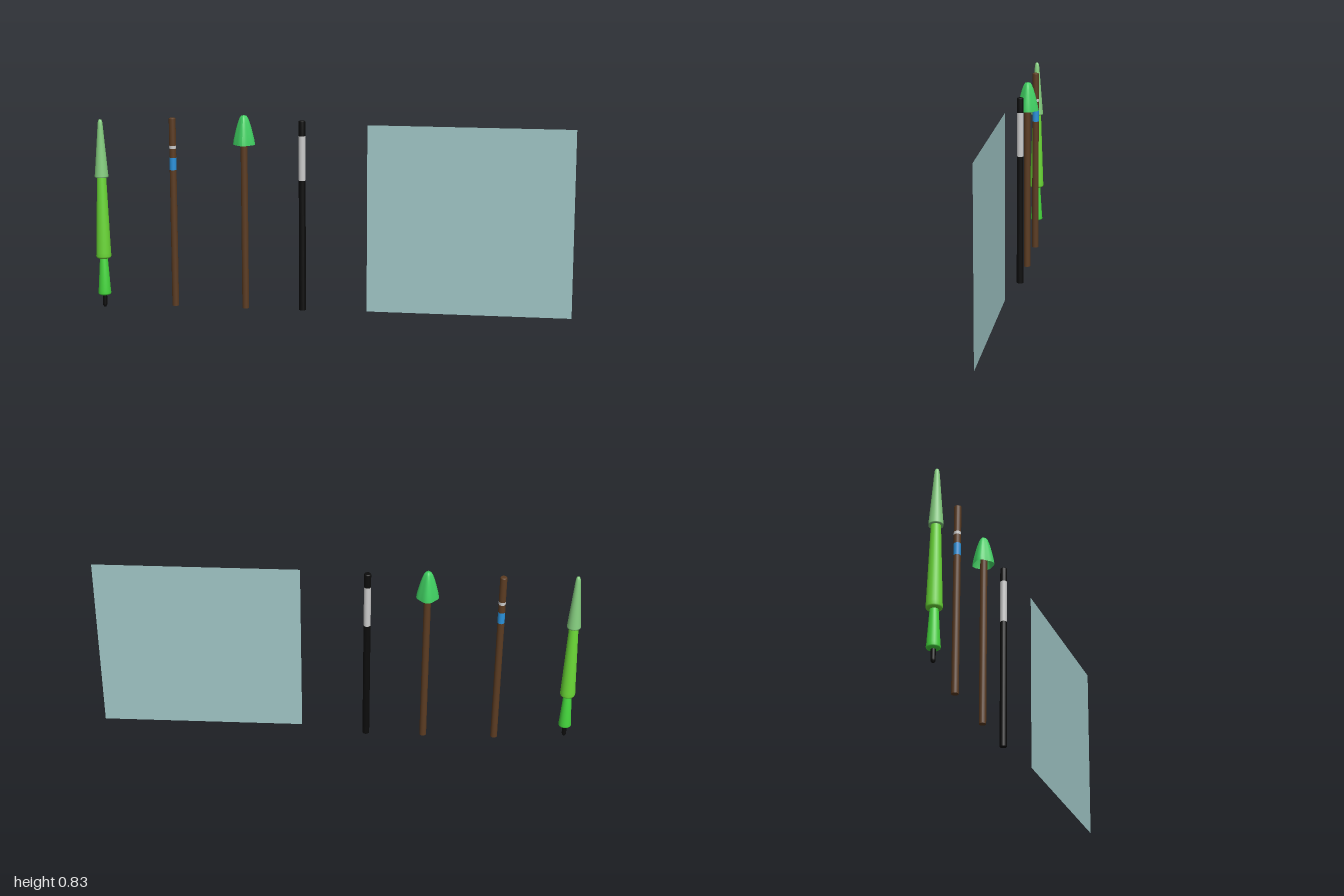
import * as THREE from 'three';

const mat = (color, side = THREE.FrontSide) =>
  new THREE.MeshStandardMaterial({ color, side });
const WOOD = mat(0x5c3c22), BLACK = mat(0x0c0c0c), WHITE = mat(0xcccccc), BLUE = mat(0x2a92dc);
const POLE_R = 0.0145, POLE_Z = -0.0095;

function add(parent, name, geometry, material, x = 0, y = 0, z = 0) {
  const mesh = new THREE.Mesh(geometry, material);
  mesh.name = name;
  mesh.position.set(x, y, z);
  parent.add(mesh);
  return mesh;
}

function lathe(points, segments = 24) {
  return new THREE.LatheGeometry(points.map(([r, y]) => new THREE.Vector2(r, y)), segments);
}

// Pole stacked from coloured sections: [name, bottom, top, material]
function pole(name, x, sections) {
  const g = new THREE.Group();
  g.name = name;
  g.position.set(x, 0, POLE_Z);
  sections.forEach(([part, y0, y1, m], i) => {
    if (i === sections.length - 1) {
      // slightly rounded tip
      const b = 0.004;
      add(g, part, lathe([[0, y0], [POLE_R, y0], [POLE_R, y0], [POLE_R, y1 - b],
        [POLE_R - b * 0.4, y1 - b * 0.3], [POLE_R - b, y1], [0, y1]], 16), m);
    } else {
      add(g, part, new THREE.CylinderGeometry(POLE_R, POLE_R, y1 - y0, 16), m, 0, (y0 + y1) / 2, 0);
    }
  });
  return g;
}

// Open hood with four soft corners, narrowing to a blunt tip
function hoodGeometry() {
  const profile = [[0.047, 0.71], [0.0445, 0.728], [0.039, 0.752], [0.032, 0.78],
    [0.025, 0.803], [0.0185, 0.82], [0.012, 0.83], [0, 0.833]];
  const geo = lathe(profile, 32);
  const p = geo.attributes.position;
  for (let i = 0; i < p.count; i++) {
    const x = p.getX(i), y = p.getY(i), z = p.getZ(i);
    const k = 0.92 + 0.07 * Math.cos(4 * Math.atan2(z, x));
    p.setXYZ(i, x * k, y, z * k);
  }
  geo.computeVertexNormals();
  return geo;
}

export function createModel() {
  const model = new THREE.Group();

  // Slender tree: stem and three stacked foliage tiers
  const tree = new THREE.Group();
  tree.name = 'slenderTree';
  tree.position.set(-0.968, 0, 0.02);
  add(tree, 'stem', lathe([[0, 0], [0.005, 0.002], [0.0085, 0.008], [0.0095, 0.015],
    [0.0095, 0.07]], 16), BLACK);
  add(tree, 'lowerFoliage', lathe([[0, 0.054], [0.02, 0.055], [0.026, 0.058], [0.0275, 0.063],
    [0.026, 0.075], [0.016, 0.225], [0, 0.225]]), mat(0x44d63c));
  add(tree, 'middleFoliage', lathe([[0, 0.214], [0.023, 0.214], [0.03, 0.218], [0.032, 0.224],
    [0.031, 0.24], [0.019, 0.57], [0, 0.57]]), mat(0x6ad836));
  add(tree, 'upperFoliage', lathe([[0, 0.563], [0.0285, 0.563], [0.0285, 0.568], [0.02, 0.67],
    [0.0115, 0.775], [0.0095, 0.795], [0.006, 0.805], [0, 0.808]]), mat(0x86cf80));
  model.add(tree);

  // Wooden pole with white and blue bands
  model.add(pole('bandedPole', -0.668, [
    ['lowerShaft', 0.01, 0.596, WOOD],
    ['blueBand', 0.596, 0.648, BLUE],
    ['middleShaft', 0.648, 0.686, WOOD],
    ['whiteBand', 0.686, 0.699, WHITE],
    ['upperShaft', 0.699, 0.815, WOOD],
  ]));

  // Wooden pole under a green hood
  const hooded = pole('hoodedPole', -0.366, [['shaft', 0.01, 0.81, WOOD]]);
  add(hooded, 'hood', hoodGeometry(), mat(0x40d062, THREE.DoubleSide), 0, 0, -0.002);
  model.add(hooded);

  // Black pole with a pale section
  model.add(pole('blackPole', -0.123, [
    ['lowerShaft', 0.01, 0.565, BLACK],
    ['paleSection', 0.565, 0.752, WHITE],
    ['cap', 0.752, 0.815, BLACK],
  ]));

  // Thin upright sheet
  add(model, 'sheet', new THREE.PlaneGeometry(0.848, 0.787),
    mat(0xa0c6c6, THREE.DoubleSide), 0.575, 0.4135, 0.018);

  return model;
}
